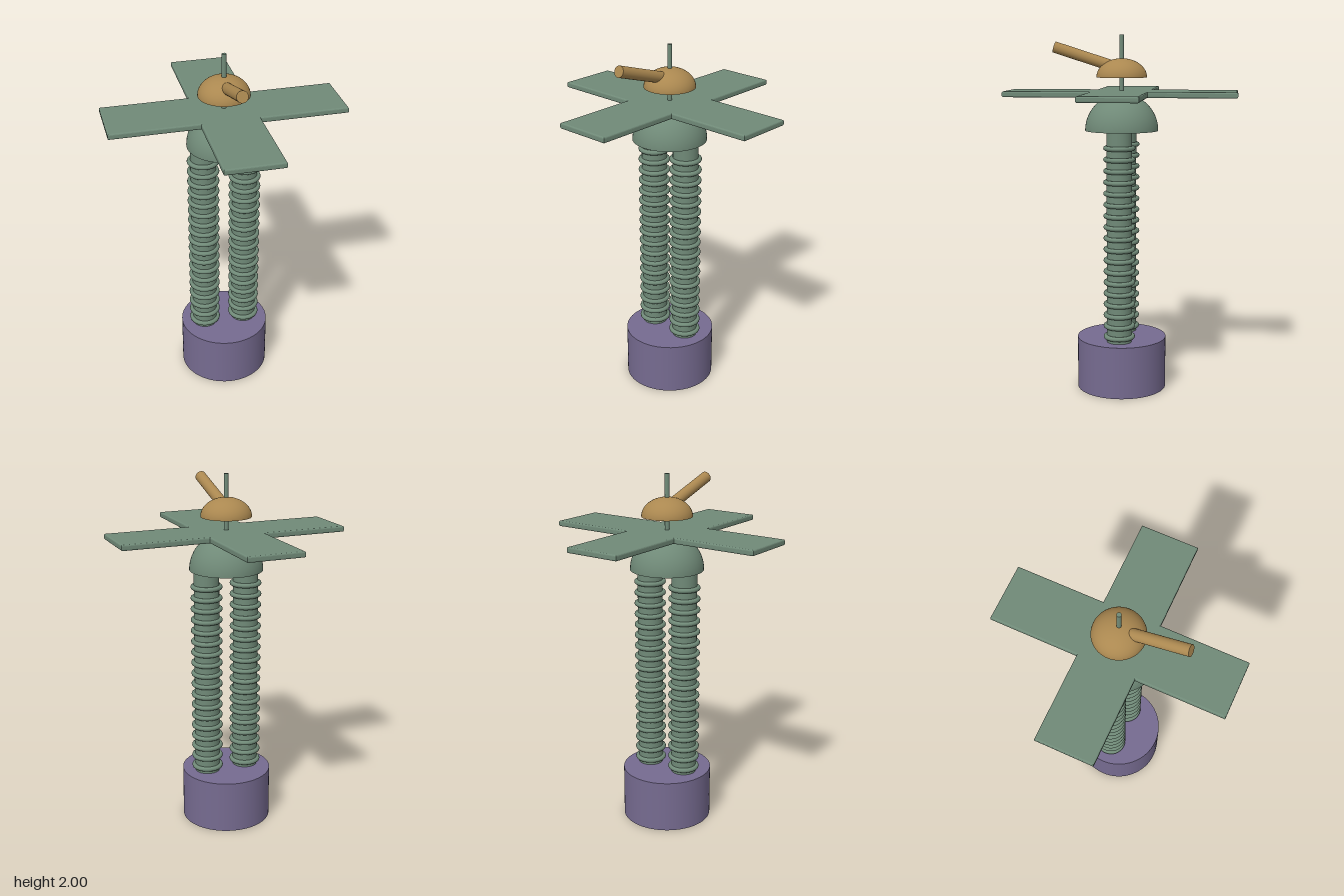
import * as THREE from 'three';

const paint = (name, color) => {
  const m = new THREE.MeshStandardMaterial({ color });
  m.name = name;
  return m;
};

export function createModel() {
  const green = paint('sage green', 0x708a78);
  const purple = paint('dusty purple', 0x766b90);
  const gold = paint('ochre', 0xab8850);

  const model = new THREE.Group();
  model.name = 'tower';

  const add = (name, geometry, material, x = 0, y = 0, z = 0, parent = model) => {
    const mesh = new THREE.Mesh(geometry, material);
    mesh.name = name;
    mesh.position.set(x, y, z);
    parent.add(mesh);
    return mesh;
  };

  // Half dome with a flat closed underside, standing on y
  const addDome = (name, radius, height, material, y) => {
    const dome = new THREE.Group();
    dome.name = name;
    dome.position.y = y;
    model.add(dome);
    const shell = new THREE.SphereGeometry(radius, 48, 16, 0, Math.PI * 2, 0, Math.PI / 2);
    shell.scale(1, height / radius, 1);
    add(name + 'Shell', shell, material, 0, 0, 0, dome);
    const floor = new THREE.CircleGeometry(radius, 48).rotateX(Math.PI / 2);
    add(name + 'Underside', floor, material, 0, 0, 0, dome);
  };

  // Base drum
  add('base', new THREE.CylinderGeometry(0.252, 0.252, 0.295, 64), purple, 0, 0.1475, 0);

  // Two ribbed columns
  const columnGeometry = new THREE.CylinderGeometry(0.07, 0.07, 1.19, 32);
  const ringGeometry = new THREE.TorusGeometry(0.075, 0.0135, 10, 40).rotateX(Math.PI / 2);
  for (const side of [1, -1]) {
    const column = new THREE.Group();
    column.name = side > 0 ? 'leftColumn' : 'rightColumn';
    column.position.x = side * 0.117;
    model.add(column);
    add('shaft', columnGeometry, green, 0, 0.885, 0, column);
    for (let i = 0; i < 18; i++) {
      add('ring', ringGeometry, green, 0, 0.325 + i * 0.0626, 0, column);
    }
  }

  // Large dome joining the columns
  addDome('shoulderDome', 0.2035, 0.2035, green, 1.476);

  // Four flat blades as one cross with softened edges
  const bevel = 0.008, L = 0.64 - bevel, W = 0.158 - bevel;
  const outline = [
    [L, -W], [L, W], [W, W], [W, L], [-W, L], [-W, W],
    [-L, W], [-L, -W], [-W, -W], [-W, -L], [W, -L], [W, -W],
  ].map(([x, y]) => new THREE.Vector2(x, y));
  const blades = new THREE.ExtrudeGeometry(new THREE.Shape(outline), {
    depth: 0.032 - 2 * bevel, bevelEnabled: true,
    bevelSize: bevel, bevelThickness: bevel, bevelSegments: 3,
  }).rotateX(-Math.PI / 2);
  add('blades', blades, green, 0, 1.664 + bevel, 0);

  // Mast through the cap to the top
  add('mast', new THREE.CylinderGeometry(0.0125, 0.0125, 0.32, 20), green, 0, 1.84, 0);

  // Cap dome and its raised barrel
  addDome('cap', 0.14, 0.104, gold, 1.769);
  const tilt = 0.31, length = 0.33;
  const barrel = add('barrel', new THREE.CylinderGeometry(0.031, 0.031, length, 32), gold,
    0, 1.934 - Math.sin(tilt) * length / 2, 0.375 - Math.cos(tilt) * length / 2);
  barrel.rotation.x = Math.PI / 2 - tilt;

  return model;
}
